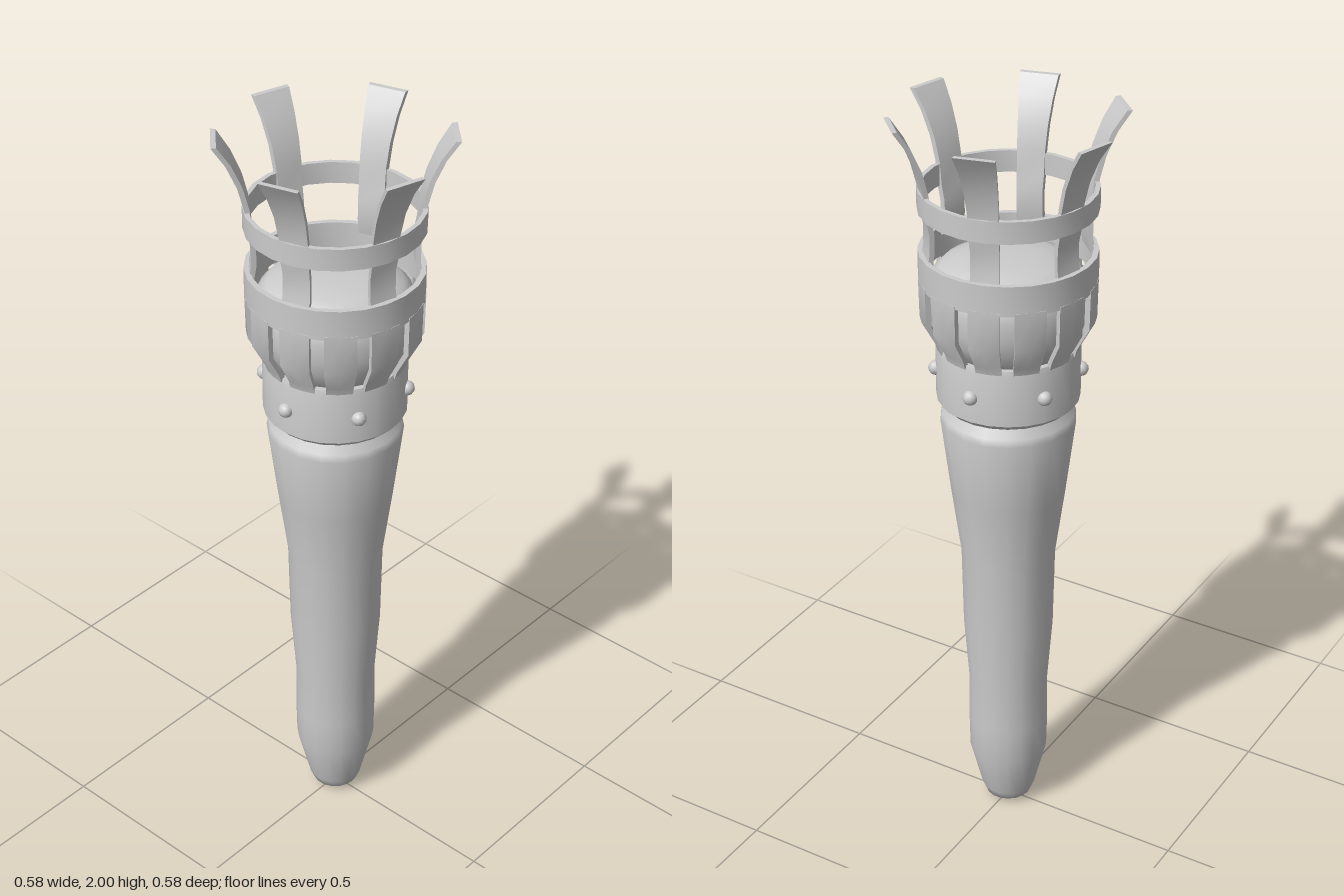
import * as THREE from 'three';
import { toCreasedNormals } from 'three/addons/utils/BufferGeometryUtils.js';

const RAD = Math.PI / 180;
const material = new THREE.MeshStandardMaterial({ color: 0xcccccc, roughness: 0.8 });

function add(parent, name, geometry) {
  const mesh = new THREE.Mesh(geometry, material);
  mesh.name = name;
  parent.add(mesh);
  return mesh;
}

// Turned solid from [radius, y] points running up the outside
function turned(points, sides, crease) {
  const geo = new THREE.LatheGeometry(points.map(([r, y]) => new THREE.Vector2(r, y)), sides);
  return toCreasedNormals(geo, crease);
}

// Ring with a rectangular section
function hoop(rIn, rOut, y0, y1, sides) {
  return turned([[rIn, y0], [rOut, y0], [rOut, y1], [rIn, y1], [rIn, y0]], sides, 0.5);
}

// Bent plate facing +z: rows of [outer radius, y], swept over +-halfAngle degrees
function plate(rows, thickness, halfAngle, cols) {
  const pos = [], index = [];
  const section = [...rows, ...rows.map(([r, y]) => [r - thickness, y]).reverse()];
  const n = section.length;
  for (let c = 0; c <= cols; c++) {
    const a = (-1 + (2 * c) / cols) * halfAngle * RAD;
    for (const [r, y] of section) pos.push(r * Math.sin(a), y, r * Math.cos(a));
  }
  for (let c = 0; c < cols; c++) {
    for (let i = 0; i < n; i++) {
      const j = (i + 1) % n, a = c * n, b = a + n;
      index.push(a + i, b + i, b + j, a + i, b + j, a + j);
    }
  }
  // Close both side edges
  const e = cols * n;
  for (let i = 0; i < rows.length - 1; i++) {
    const k = n - 1 - i;
    index.push(i, i + 1, k - 1, i, k - 1, k);
    index.push(e + i, e + k - 1, e + i + 1, e + i, e + k, e + k - 1);
  }
  const geo = new THREE.BufferGeometry();
  geo.setAttribute('position', new THREE.Float32BufferAttribute(pos, 3));
  geo.setIndex(index);
  return toCreasedNormals(geo, 0.5);
}

export function createModel() {
  const torch = new THREE.Group();
  torch.name = 'torch';

  // Tapered handle with a blunt tip and rounded shoulder
  add(torch, 'handle', turned([
    [0, 0], [0.035, 0.003], [0.062, 0.02], [0.072, 0.045], [0.105, 0.18], [0.107, 0.28],
    [0.106, 0.41], [0.119, 0.59], [0.123, 0.81], [0.148, 1.0], [0.172, 1.2],
    [0.168, 1.22], [0.145, 1.24], [0.14, 1.27], [0, 1.27],
  ], 18, 0.9));

  // Collar with a bevelled lower lip
  add(torch, 'collar', turned([
    [0, 1.25], [0.165, 1.25], [0.18, 1.265], [0.18, 1.4], [0.176, 1.415], [0, 1.415],
  ], 24, 0.6));

  // Rivets around the collar
  const rivetGeo = new THREE.SphereGeometry(0.019, 12, 8);
  for (let i = 0; i < 6; i++) {
    const a = (30 + 60 * i) * RAD;
    add(torch, 'rivet', rivetGeo).position.set(0.18 * Math.sin(a), 1.333, 0.18 * Math.cos(a));
  }

  // Domed fuel core inside the basket
  add(torch, 'core', turned([
    [0, 1.41], [0.16, 1.41], [0.185, 1.46], [0.195, 1.5], [0.196, 1.55],
    [0.188, 1.59], [0.165, 1.615], [0.125, 1.632], [0.07, 1.638], [0, 1.64],
  ], 32, 1.2));

  // Twelve staves leave open slots between them
  const basket = new THREE.Group();
  basket.name = 'basket';
  torch.add(basket);
  const staveGeo = plate([[0.179, 1.405], [0.185, 1.425], [0.217, 1.485], [0.219, 1.59]], 0.014, 10.3, 2);
  for (let i = 0; i < 12; i++) {
    add(basket, 'stave', staveGeo).rotation.y = (15 + 30 * i) * RAD;
  }
  add(basket, 'lowerBand', hoop(0.205, 0.219, 1.582, 1.66, 24));
  add(basket, 'upperBand', hoop(0.207, 0.219, 1.768, 1.824, 24));

  // Six prongs flare outward above the bands
  const prongGeo = plate([
    [0.211, 1.64], [0.204, 1.68], [0.204, 1.73], [0.212, 1.77], [0.217, 1.83],
    [0.232, 1.89], [0.258, 1.95], [0.291, 2.0],
  ], 0.013, 10, 1);
  for (let i = 0; i < 6; i++) {
    add(basket, 'prong', prongGeo).rotation.y = (45 + 60 * i) * RAD;
  }

  return torch;
}
